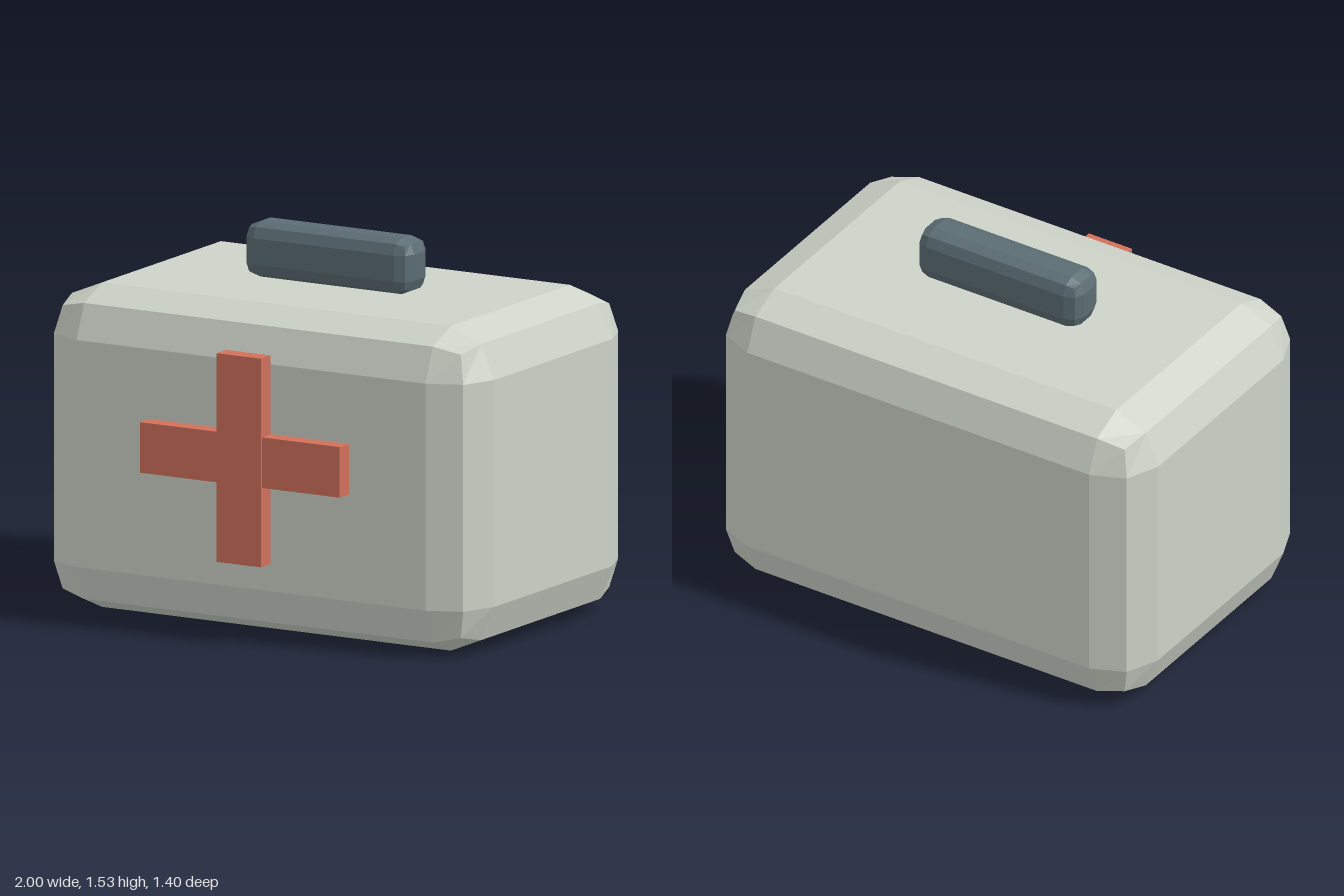
import * as THREE from 'three';
import { RoundedBoxGeometry } from 'three/addons/geometries/RoundedBoxGeometry.js';

const paint = (color) => new THREE.MeshStandardMaterial({ color, flatShading: true });

export function createModel() {
  const group = new THREE.Group();
  const shell = paint(0xcdd3c8);
  const dark = paint(0x5b6d73);
  const red = paint(0xd0705a);

  // Place a geometry by its centre
  const add = (name, geometry, material, x, y, z) => {
    const mesh = new THREE.Mesh(geometry, material);
    mesh.name = name;
    mesh.position.set(x, y, z);
    group.add(mesh);
  };

  // Case with a two-facet bevel on every edge
  add('caseBody', new RoundedBoxGeometry(2, 1.31, 1.304, 1, 0.197), shell, 0, 0.655, -0.045);

  // Solid grip resting on the lid
  add('handle', new RoundedBoxGeometry(0.766, 0.226, 0.192, 1, 0.06), dark, 0, 1.422, -0.045);

  // Cross bars floating just ahead of the front face
  add('crossVertical', new THREE.BoxGeometry(0.204, 0.842, 0.073), red, 0, 0.733, 0.6635);
  add('crossHorizontal', new THREE.BoxGeometry(0.92, 0.204, 0.073), red, 0, 0.733, 0.656);

  return group;
}
